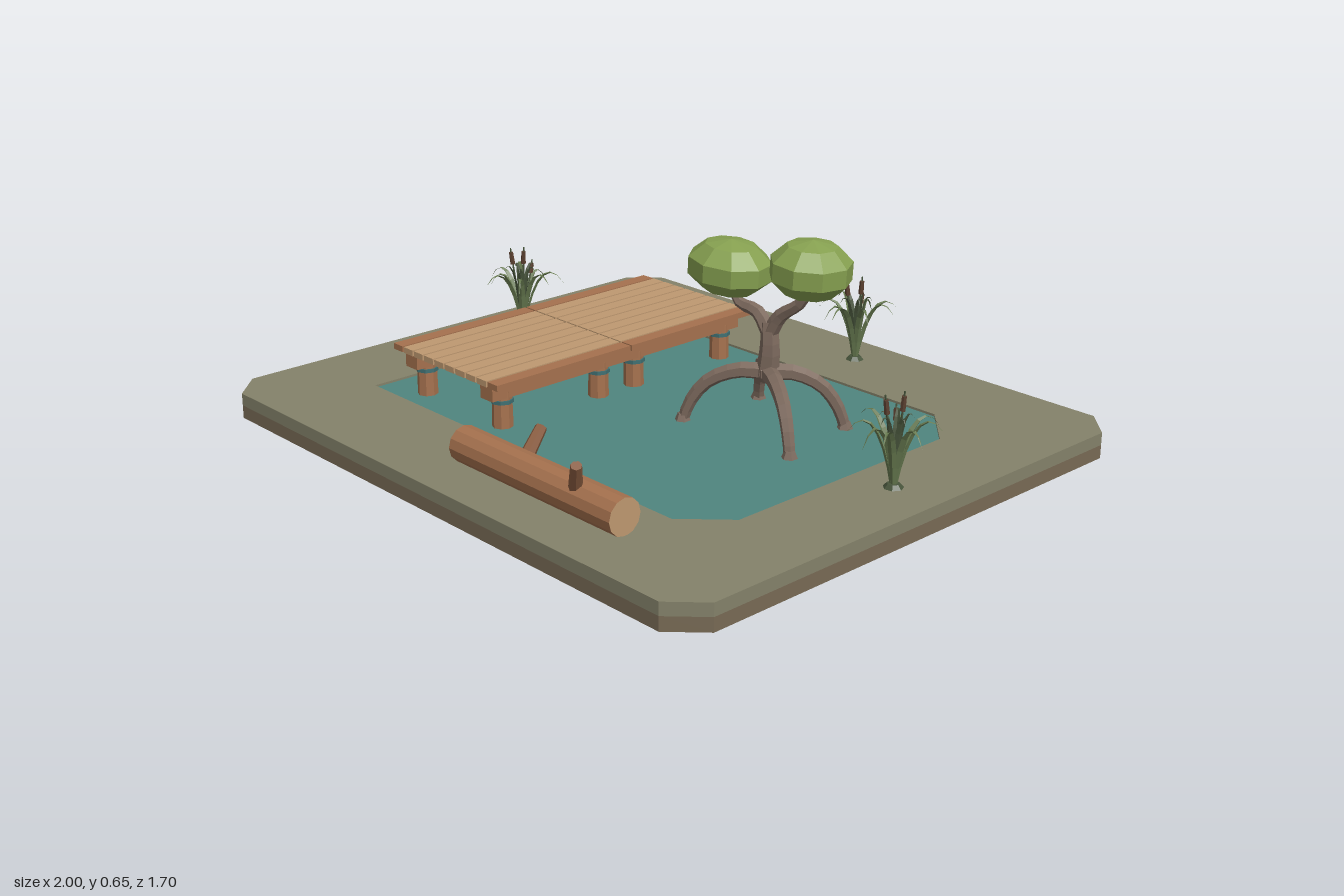
import * as THREE from 'three';

const mat = (color, extra = {}) => new THREE.MeshStandardMaterial({ color, flatShading: true, ...extra });
const M = {
  grass: mat(0x84826a), soil: mat(0x786a55), water: mat(0x4f857f),
  wood: mat(0xa5714e), plank: mat(0xbe9870), woodDark: mat(0x875a3e), rope: mat(0x3f6f72),
  bark: mat(0x7d6a5e), leaf: mat(0x86a050), reed: mat(0x66794f, { side: THREE.DoubleSide }),
  reedDark: mat(0x47543b, { side: THREE.DoubleSide }), head: mat(0x5b4030),
};
const V = (x, y, z) => new THREE.Vector3(x, y, z);

function add(parent, name, geometry, material, x = 0, y = 0, z = 0) {
  const mesh = new THREE.Mesh(geometry, material);
  mesh.name = name;
  mesh.position.set(x, y, z);
  parent.add(mesh);
  return mesh;
}

// Outline given as [x, z] corners
function outline(points, Type = THREE.Shape) {
  return new Type(points.map(([x, z]) => new THREE.Vector2(x, -z)));
}

function slab(shape, height) {
  return new THREE.ExtrudeGeometry(shape, { depth: height, bevelEnabled: false }).rotateX(-Math.PI / 2);
}

// Cylinder between two points
function rod(parent, name, a, b, r0, r1, material, sides = 7) {
  const dir = b.clone().sub(a);
  const mesh = add(parent, name, new THREE.CylinderGeometry(r1, r0, dir.length(), sides), material);
  mesh.position.copy(a).lerp(b, 0.5);
  mesh.quaternion.setFromUnitVectors(V(0, 1, 0), dir.normalize());
  return mesh;
}

// Tube along a smooth path, tapering from r0 to r1
function limb(parent, name, points, r0, r1, segments = 9, sides = 6) {
  const curve = new THREE.CatmullRomCurve3(points);
  const geometry = new THREE.TubeGeometry(curve, segments, 1, sides);
  const pos = geometry.attributes.position;
  const p = V(0, 0, 0);
  for (let i = 0; i < pos.count; i++) {
    const u = Math.floor(i / (sides + 1)) / segments;
    const c = curve.getPointAt(u);
    p.fromBufferAttribute(pos, i).sub(c).multiplyScalar(r0 + (r1 - r0) * u).add(c);
    pos.setXYZ(i, p.x, p.y, p.z);
  }
  geometry.computeVertexNormals();
  return add(parent, name, geometry, M.bark);
}

// Folded leaf blade that rises, bends outward and droops, pointing along +x
function blade(reach, height, droop, width) {
  const curve = new THREE.CubicBezierCurve3(
    V(0.008, 0, 0), V(reach * 0.25, height * 0.8, 0), V(reach * 0.6, height * 1.3, 0), V(reach, height - droop, 0));
  const n = 7, pos = [], index = [];
  for (let i = 0; i <= n; i++) {
    const t = i / n, p = curve.getPoint(t);
    const w = width * (t < 0.35 ? 0.6 + 0.4 * t / 0.35 : (1 - t) / 0.65);
    pos.push(p.x - w * 0.25, p.y + w * 0.25, w / 2, p.x, p.y, 0, p.x - w * 0.25, p.y + w * 0.25, -w / 2);
    if (i < n) for (const k of [0, 1]) {
      const a = i * 3 + k;
      index.push(a, a + 3, a + 1, a + 1, a + 3, a + 4);
    }
  }
  const geometry = new THREE.BufferGeometry();
  geometry.setAttribute('position', new THREE.Float32BufferAttribute(pos, 3));
  geometry.setIndex(index);
  geometry.computeVertexNormals();
  return geometry;
}

function buildGround(root) {
  const corners = [[-0.91, 0.85], [0.91, 0.85], [1, 0.76], [1, -0.76], [0.91, -0.85], [-0.91, -0.85], [-1, -0.76], [-1, 0.76]];
  const pond = [[-0.7, 0.52], [0.6, 0.52], [0.72, 0.4], [0.72, -0.39], [0.59, -0.525], [-0.7, -0.525]];
  add(root, 'soilBase', slab(outline(corners), 0.04), M.soil);
  const bank = outline(corners);
  bank.holes.push(outline(pond, THREE.Path));
  add(root, 'grassBank', slab(bank, 0.037), M.grass, 0, 0.04, 0);
  add(root, 'pondWater', slab(outline(pond), 0.03), M.water, 0, 0.04, 0);
}

function buildDock(root) {
  const dock = new THREE.Group();
  dock.name = 'dock';
  root.add(dock);
  // Two rows of ten planks
  const plank = new THREE.BoxGeometry(0.043, 0.018, 0.495);
  for (let i = 0; i < 10; i++) for (const s of [-1, 1]) {
    add(dock, 'plank', plank, i % 9 === 0 ? M.wood : M.plank, -0.602 + i * 0.05, 0.217, s * 0.2505);
  }
  // Beams with lashed posts under them
  for (const x of [-0.556, -0.198]) {
    add(dock, 'beam', new THREE.BoxGeometry(0.055, 0.046, 0.97), M.wood, x, 0.185, 0);
    for (const z of [-0.43, -0.07, 0.07, 0.43]) {
      add(dock, 'post', new THREE.CylinderGeometry(0.029, 0.031, 0.12, 8), M.wood, x, 0.12, z);
      add(dock, 'ropeBand', new THREE.CylinderGeometry(0.034, 0.034, 0.011, 8), M.rope, x, 0.149, z);
    }
  }
}

function buildLog(root) {
  const log = new THREE.Group();
  log.name = 'fallenLog';
  root.add(log);
  const trunk = rod(log, 'logTrunk', V(-0.055, 0.127, 0.672), V(0.595, 0.127, 0.672), 0.052, 0.052, M.wood, 12);
  trunk.material = [M.wood, M.plank, M.plank];
  rod(log, 'branchStub', V(0.185, 0.135, 0.665), V(0.145, 0.203, 0.567), 0.022, 0.017, M.woodDark);
  rod(log, 'branchStub', V(0.43, 0.15, 0.69), V(0.472, 0.24, 0.722), 0.02, 0.015, M.woodDark);
}

function buildTree(root) {
  const tree = new THREE.Group();
  tree.name = 'stiltRootTree';
  root.add(tree);
  const hub = V(0.312, 0.235, -0.118);
  // Arching stilt roots
  for (const [x, z] of [[0.14, -0.262], [0.475, -0.27], [0.518, 0.003], [0.115, 0.022]]) {
    const at = (t, y) => V(hub.x + (x - hub.x) * t, y, hub.z + (z - hub.z) * t);
    limb(tree, 'stiltRoot', [at(0, 0.235), at(0.35, 0.233), at(0.7, 0.195), at(0.92, 0.125), at(1, 0.066)], 0.026, 0.016);
    add(tree, 'rootFoot', new THREE.CylinderGeometry(0.015, 0.024, 0.022, 6), M.bark, x, 0.08, z);
  }
  add(tree, 'rootCrown', new THREE.SphereGeometry(0.036, 7, 5), M.bark, hub.x, hub.y, hub.z);
  // Trunk and forked branches
  limb(tree, 'trunk', [V(0.312, 0.23, -0.118), V(0.322, 0.31, -0.116), V(0.316, 0.385, -0.117)], 0.034, 0.024, 5);
  limb(tree, 'branch', [V(0.318, 0.35, -0.117), V(0.275, 0.405, -0.112), V(0.21, 0.42, -0.105), V(0.178, 0.48, -0.1)], 0.024, 0.012);
  limb(tree, 'branch', [V(0.318, 0.35, -0.117), V(0.355, 0.41, -0.122), V(0.42, 0.46, -0.132), V(0.45, 0.52, -0.137)], 0.024, 0.013);
  // Faceted leaf crowns
  for (const [x, y, z, rx, ry, rz, turn] of [[0.178, 0.518, -0.098, 0.137, 0.082, 0.115, 0.2], [0.45, 0.562, -0.137, 0.121, 0.085, 0.121, 0.5]]) {
    const crown = new THREE.SphereGeometry(1, 9, 5).rotateY(turn).scale(rx, ry, rz);
    add(tree, 'leafCrown', crown, M.leaf, x, y, z).rotation.z = -0.06;
  }
}

function buildReeds(root, x, z, turn) {
  const clump = new THREE.Group();
  clump.name = 'reedClump';
  clump.position.set(x, 0.075, z);
  clump.rotation.y = turn;
  root.add(clump);
  add(clump, 'reedMound', new THREE.CylinderGeometry(0.018, 0.032, 0.016, 7), M.reedDark, 0, 0.006, 0);
  // Outer drooping blades and inner upright ones
  for (let i = 0; i < 8; i++) {
    const a = i * Math.PI / 4 + 0.12 * Math.sin(i * 5);
    const reach = 0.125 + 0.02 * Math.sin(i * 2.3);
    add(clump, 'outerBlade', blade(reach, 0.185, 0.02 + 0.018 * (i % 3), 0.024), M.reed).rotation.y = a;
  }
  for (let i = 0; i < 5; i++) {
    add(clump, 'innerBlade', blade(0.05 + 0.008 * (i % 2), 0.19, 0, 0.022), M.reedDark).rotation.y = i * Math.PI * 0.4 + 0.3;
  }
  // Seed-head stalks
  [[0.4, 0.275, 0.022], [2.5, 0.265, 0.035], [4.6, 0.215, 0.055]].forEach(([a, h, lean]) => {
    const base = V(0, 0, 0), top = V(Math.cos(a) * lean, h, Math.sin(a) * lean);
    const lerp = t => base.clone().lerp(top, t);
    rod(clump, 'stalk', base, top, 0.004, 0.0025, M.reedDark, 5);
    rod(clump, 'seedHead', lerp(0.8), lerp(0.95), 0.008, 0.007, M.head, 6);
  });
}

export function createModel() {
  const root = new THREE.Group();
  root.name = 'pondScene';
  buildGround(root);
  buildDock(root);
  buildLog(root);
  buildTree(root);
  [[0.12, -0.71, 0.3], [-0.835, -0.155, 0.1], [0.85, -0.04, 0.6]].forEach(c => buildReeds(root, ...c));
  return root;
}
